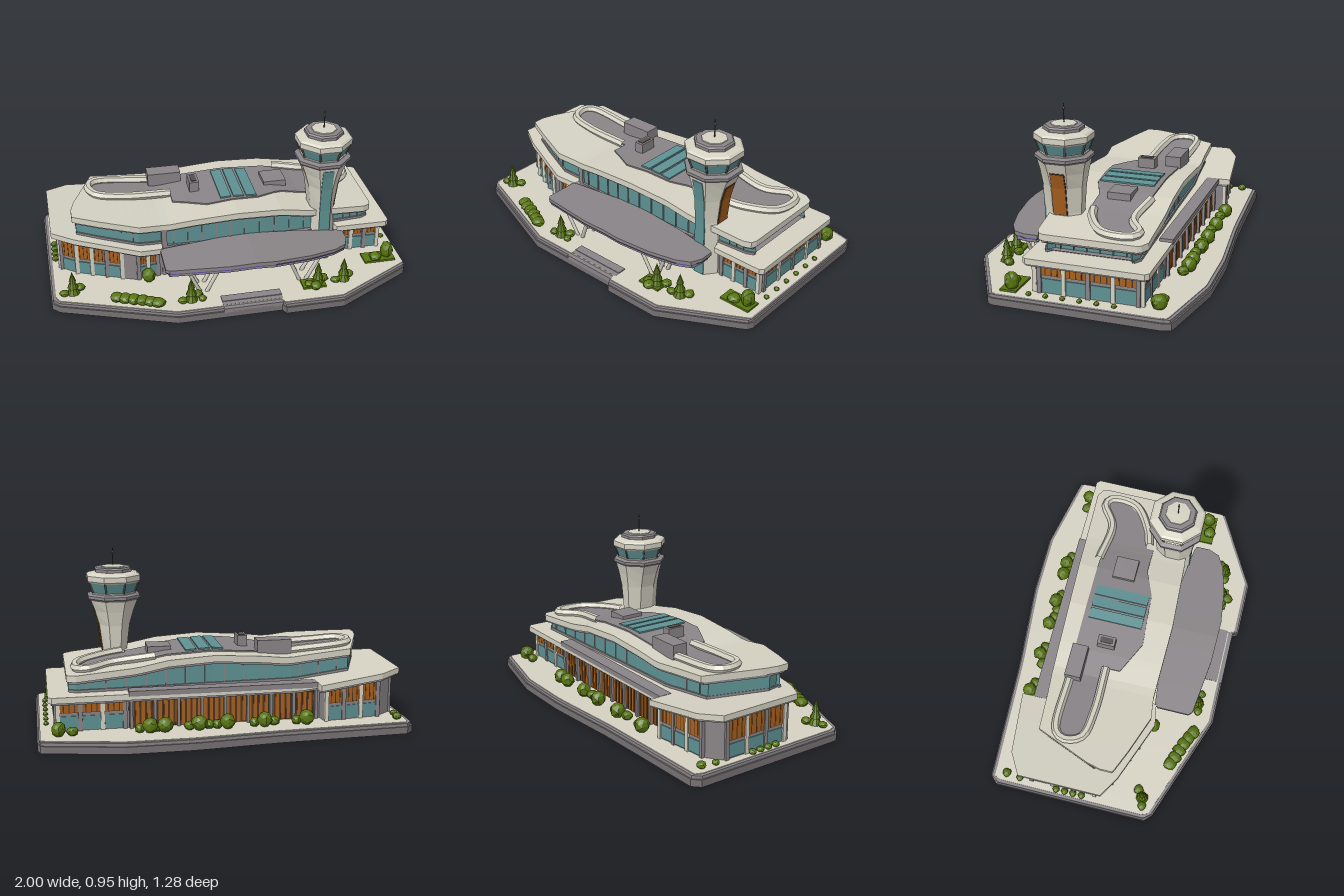
import * as THREE from 'three';

const mat = (name, color) => {
  const m = new THREE.MeshStandardMaterial({ color });
  m.name = name;
  return m;
};

export function createModel() {
  const model = new THREE.Group();
  model.name = 'airportTerminal';
  const cream = mat('cream', 0xd6d3c4), grey = mat('grey', 0x8a8588), glass = mat('glass', 0x5f9294),
    wood = mat('wood', 0xa8601e), brown = mat('darkBrown', 0x4b3524), leaf = mat('leaf', 0x58750f),
    violet = mat('violet', 0x5b50a6), dark = mat('darkGrey', 0x55504f), stone = mat('stone', 0x777274);

  const add = (name, geo, m, x = 0, y = 0, z = 0) => {
    const mesh = new THREE.Mesh(geo, m);
    mesh.name = name;
    mesh.position.set(x, y, z);
    model.add(mesh);
    return mesh;
  };
  const facet = (g) => {
    const f = g.index ? g.toNonIndexed() : g;
    f.computeVertexNormals();
    return f;
  };
  const box = (name, m, x0, x1, y0, y1, z0, z1) => add(name,
    new THREE.BoxGeometry(x1 - x0, y1 - y0, z1 - z0), m, (x0 + x1) / 2, (y0 + y1) / 2, (z0 + z1) / 2);
  const at = (v, x) => (typeof v === 'function' ? v(x) : v);
  const curve = (pts) => (x) => {
    let i = 0;
    while (i < pts.length - 2 && x > pts[i + 1][0]) i++;
    const [a, b] = [pts[i], pts[i + 1]];
    return THREE.MathUtils.lerp(a[1], b[1], THREE.MathUtils.clamp((x - a[0]) / (b[0] - a[0]), 0, 1));
  };

  // Slab lofted along x from [x, back z, front z]; heights may vary with x
  const slabGeo = (secs, y0, y1) => {
    const s = [];
    secs.forEach((c, i) => {
      if (i) {
        const p = secs[i - 1], n = Math.max(1, Math.ceil((c[0] - p[0]) / 0.05));
        for (let k = 1; k <= n; k++) s.push(c.map((v, j) => THREE.MathUtils.lerp(p[j], v, k / n)));
      } else s.push(c);
    });
    const rings = s.map(([x, b, f]) => [[x, at(y0, x), b], [x, at(y0, x), f], [x, at(y1, x), f], [x, at(y1, x), b]]);
    const pos = [], tri = (...p) => p.forEach((v) => pos.push(...v));
    for (let i = 0; i + 1 < rings.length; i++) for (let j = 0; j < 4; j++) {
      const k = (j + 1) % 4, A = rings[i], B = rings[i + 1];
      tri(A[j], B[j], A[k]);
      tri(B[j], B[k], A[k]);
    }
    const S = rings[0], E = rings[rings.length - 1];
    tri(S[0], S[1], S[2]); tri(S[0], S[2], S[3]);
    tri(E[0], E[2], E[1]); tri(E[0], E[3], E[2]);
    const g = new THREE.BufferGeometry();
    g.setAttribute('position', new THREE.Float32BufferAttribute(pos, 3));
    return facet(g);
  };
  const slab = (name, m, secs, y0, y1) => add(name, slabGeo(secs, y0, y1), m);
  const inset = (secs, d) => secs.map(([x, b, f], i) =>
    [x + (i === 0 ? d : i === secs.length - 1 ? -d : 0), b + d, f - d]);

  // Row of n upright plates between two ground points
  const row = (name, m, [ax, az], [bx, bz], y0, y1, n, fill = 0.85, thick = 0.009) => {
    const len = Math.hypot(bx - ax, bz - az) / n;
    for (let i = 0; i < n; i++) {
      const t = (i + 0.5) / n, x = ax + (bx - ax) * t, h = at(y1, x) - y0;
      add(name, new THREE.BoxGeometry(len * fill, h, thick), m, x, y0 + h / 2, az + (bz - az) * t)
        .rotation.y = -Math.atan2(bz - az, bx - ax);
    }
  };
  const bar = (name, m, a, b, r, sides = 6) => {
    const A = new THREE.Vector3(...a), B = new THREE.Vector3(...b), d = B.clone().sub(A);
    const mesh = add(name, new THREE.CylinderGeometry(r, r, d.length(), sides), m);
    mesh.position.copy(A).add(B).multiplyScalar(0.5);
    mesh.quaternion.setFromUnitVectors(new THREE.Vector3(0, 1, 0), d.normalize());
  };

  // Plinth, kerb and paving
  const site = [[-1, -0.53, 0.35], [-0.96, -0.57, 0.39], [-0.35, -0.595, 0.61], [-0.25, -0.6, 0.61],
    [-0.1, -0.613, 0.61], [0.15, -0.635, 0.61], [0.22, -0.64, 0.61], [0.235, -0.64, 0.642], [0.56, -0.64, 0.642],
    [0.95, -0.56, 0.43], [0.985, -0.55, 0.41], [1, -0.5, 0.38]];
  slab('plinth', stone, site, 0, 0.038);
  slab('kerb', grey, inset(site, 0.008), 0.038, 0.055);
  slab('paving', cream, inset(site, 0.025), 0.05, 0.059);
  for (let i = 0; i < 3; i++) box('entranceStep', grey, -0.1, 0.23, 0.03, 0.064 - i * 0.004, 0.5, 0.55 + i * 0.03);

  // Lower storey
  const lowY = curve([[-0.97, 0.32], [-0.4, 0.255], [0.95, 0.25]]);
  const lowRoof = [[-0.97, -0.38, 0.09], [-0.85, -0.45, 0.16], [-0.5, -0.49, 0.29], [-0.498, -0.42, 0.29],
    [-0.38, -0.42, 0.27], [-0.36, -0.42, 0.2], [0.62, -0.42, 0.2], [0.63, -0.42, 0.24], [0.92, -0.42, 0.24], [0.94, -0.4, 0.22]];
  slab('lowerWalls', grey, [[-0.93, -0.34, 0.05], [-0.84, -0.41, 0.12], [-0.53, -0.45, 0.25], [-0.52, -0.38, 0.25],
    [-0.4, -0.38, 0.23], [0.62, -0.38, 0.19], [0.89, -0.38, 0.19], [0.9, -0.37, 0.18]], 0.05, (x) => lowY(x) - 0.03);
  slab('lowerRoof', cream, lowRoof, (x) => lowY(x) - 0.032, lowY);
  slab('lowerSoffit', grey, inset(lowRoof, 0.015), (x) => lowY(x) - 0.045, (x) => lowY(x) - 0.03);
  box('rearRoofStrip', grey, -0.5, 0.52, 0.24, 0.268, -0.423, -0.35);

  // Lower windows: glass below, timber above
  const under = (x) => lowY(x) - 0.048;
  const bays = [[[-0.92, 0.058], [-0.84, 0.12], 1], [[-0.84, 0.12], [-0.6, 0.221], 3], [[-0.51, 0.248], [-0.4, 0.23], 2],
    [[0.65, 0.19], [0.89, 0.19], 3], [[0.9, -0.36], [0.9, 0.16], 4], [[0.54, -0.38], [0.89, -0.38], 3],
    [[-0.93, -0.33], [-0.93, 0.04], 3], [[-0.84, -0.41], [-0.54, -0.449], 3]];
  bays.forEach(([a, b, n]) => {
    row('lowerWindow', glass, a, b, 0.065, 0.138, n, 0.8);
    row('timberBack', brown, a, b, 0.155, under, n, 0.84, 0.006);
    row('timberPanel', wood, a, b, 0.158, (x) => under(x) - 0.003, n * 4, 0.8);
    for (let i = 0; i <= n; i++) {
      const t = i / n, x = a[0] + (b[0] - a[0]) * t, z = a[1] + (b[1] - a[1]) * t;
      box('wallPier', i % 2 ? cream : grey, x - 0.011, x + 0.011, 0.05, under(x) + 0.01, z - 0.011, z + 0.011);
    }
  });
  // Rear timber screen
  row('screenBack', brown, [-0.51, -0.38], [0.52, -0.38], 0.062, 0.212, 1, 1, 0.008);
  row('screenSlat', wood, [-0.51, -0.384], [0.52, -0.384], 0.065, 0.208, 34, 0.62);
  row('screenPier', grey, [-0.56, -0.39], [0.57, -0.39], 0.05, 0.22, 9, 0.13, 0.025);

  // Upper storey
  const topY = curve([[-0.85, 0.435], [-0.35, 0.392], [-0.2, 0.408], [0.05, 0.424], [0.3, 0.41], [0.47, 0.378], [0.85, 0.346]]);
  const topRoof = [[-0.85, 0.06, 0.13], [-0.83, -0.02, 0.14], [-0.71, -0.32, 0.19], [-0.5, -0.33, 0.265], [-0.38, -0.34, 0.25],
    [0.05, -0.35, 0.26], [0.45, -0.365, 0.24], [0.79, -0.375, 0.21], [0.83, -0.35, 0.19], [0.84, -0.33, 0.16]];
  slab('upperRoof', cream, topRoof, (x) => topY(x) - 0.036, topY);
  slab('upperSoffit', grey, inset(topRoof, 0.015), (x) => topY(x) - 0.05, (x) => topY(x) - 0.034);
  slab('upperGlazing', glass, inset(topRoof, 0.045), 0.24, (x) => topY(x) - 0.04);
  slab('upperSill', grey, inset(topRoof, 0.036), 0.24, (x) => lowY(x) + 0.014);
  slab('hallGlazing', glass, [[-0.345, 0, 0.222], [0.05, 0, 0.23], [0.48, 0, 0.215]], 0.05, (x) => topY(x) - 0.04);
  const over = (x) => topY(x) - 0.04;
  [[[-0.8, 0.096], [-0.5, 0.221], 5], [[0.66, 0.176], [0.79, 0.166], 3], [[-0.7, -0.275], [0.79, -0.33], 14],
    [[0.797, -0.3], [0.797, 0.12], 6], [[-0.345, 0.222], [0.05, 0.23], 5], [[0.05, 0.23], [0.48, 0.215], 5]]
    .forEach(([a, b, n], i) => row('mullion', grey, a, b, i > 3 ? 0.06 : 0.25, over, n, 0.06, 0.012));
  box('hallTransom', grey, -0.345, 0.48, 0.19, 0.25, 0.2, 0.236);
  box('hallPier', grey, -0.375, -0.345, 0.05, 0.35, 0.15, 0.235);

  // Roof decks, raised lips, skylights and plant boxes
  const deckY = (x) => topY(x) + 0.008;
  slab('centralDeck', grey, [[-0.28, -0.08, 0.03], [-0.2, -0.25, 0.07], [-0.1, -0.25, 0.12], [0.2, -0.25, 0.1],
    [0.35, -0.25, 0.04], [0.5, -0.17, 0.04]], topY, deckY);
  slab('leftDeck', grey, [[-0.73, -0.21, -0.12], [-0.68, -0.22, -0.07], [-0.2, -0.24, -0.06]], topY, deckY);
  slab('rightDeck', grey, [[0.35, -0.25, 0.03], [0.6, -0.22, -0.02], [0.7, -0.28, -0.08], [0.77, -0.3, -0.18]], topY, deckY);
  [[[-0.38, -0.235], [-0.7, -0.225], [-0.735, -0.17], [-0.7, -0.08], [-0.55, -0.05], [-0.28, -0.05]],
    [[0.36, -0.255], [0.6, -0.235], [0.73, -0.31], [0.78, -0.28], [0.77, -0.13], [0.62, -0.02], [0.52, 0.01]]].forEach((p) => {
    const path = new THREE.CatmullRomCurve3(p.map(([x, z]) => new THREE.Vector3(x, topY(x) + 0.015, z)));
    add('roofLip', facet(new THREE.TubeGeometry(path, 28, 0.024, 6)), cream);
  });
  for (let i = 0; i < 3; i++) {
    const x = -0.015 + i * 0.073;
    slab('skylight', glass, [[x, -0.22, 0.09], [x + 0.06, -0.22, 0.09]], topY, (u) => topY(u) + 0.016);
  }
  box('plantBox', grey, -0.39, -0.2, 0.39, 0.475, -0.26, -0.17);
  box('ventBox', grey, -0.17, -0.115, 0.4, 0.478, -0.13, -0.03);
  box('ventTop', dark, -0.158, -0.127, 0.476, 0.482, -0.115, -0.045);
  box('hatchBox', grey, 0.26, 0.39, 0.38, 0.44, -0.15, -0.02);

  // Entrance canopy on splayed struts
  const canopy = [[-0.39, 0.28, 0.46], [-0.37, 0.26, 0.48], [-0.05, 0.23, 0.52], [0.2, 0.23, 0.525], [0.4, 0.24, 0.5],
    [0.55, 0.26, 0.46], [0.62, 0.27, 0.42], [0.645, 0.28, 0.36]];
  const canY = curve([[-0.39, 0.25], [0.1, 0.268], [0.645, 0.25]]);
  slab('canopyTop', grey, canopy, (x) => canY(x) - 0.02, canY);
  slab('canopyTrim', violet, inset(canopy, 0.006), (x) => canY(x) - 0.03, (x) => canY(x) - 0.02);
  slab('canopyUnderside', grey, inset(canopy, 0.012), (x) => canY(x) - 0.043, (x) => canY(x) - 0.03);
  slab('canopyEdge', violet, inset(canopy, 0.016), (x) => canY(x) - 0.048, (x) => canY(x) - 0.043);
  [-0.18, 0.38].forEach((x) => [0.34, 0.43].forEach((z) => [-1, 1].forEach((s) =>
    bar('canopyStrut', cream, [x + s * 0.015, 0.05, z], [x + s * 0.09, 0.22, z + 0.02], 0.011))));

  // Control tower
  const TX = 0.545, TZ = 0.157, K = 1 / Math.cos(Math.PI / 8);
  const octa = (name, m, pts, sx = 1) => {
    const g = new THREE.LatheGeometry(pts.map(([r, y]) => new THREE.Vector2(r * K, y)), 8, Math.PI / 8);
    g.scale(sx, 1, 1);
    return add(name, facet(g), m, TX, 0, TZ);
  };
  const shaft = [[0.05, 0.078, 0.1], [0.38, 0.068, 0.1], [0.52, 0.085, 0.108], [0.6, 0.108, 0.12], [0.665, 0.132, 0.134]];
  const shaftAt = (j) => curve(shaft.map((s) => [s[0], s[j]]));
  const shaftGeo = new THREE.LatheGeometry(shaft.map((s) => new THREE.Vector2(s[2] * K, s[0])), 8, Math.PI / 8);
  const sp = shaftGeo.attributes.position;
  for (let i = 0; i < sp.count; i++) sp.setX(i, sp.getX(i) * shaftAt(1)(sp.getY(i)) / shaftAt(2)(sp.getY(i)));
  add('towerShaft', facet(shaftGeo), cream, TX, 0, TZ);
  const ribbon = (name, m, j, h0, h1, w, turn) => {
    const hs = [h0, ...shaft.map((s) => s[0]).filter((h) => h > h0 && h < h1), h1];
    const g = slabGeo(hs.map((h) => [h, shaftAt(j)(h) - 0.004, shaftAt(j)(h) + 0.004]), -w, w);
    add(name, g.rotateZ(Math.PI / 2).rotateY(turn), m, TX, 0, TZ);
  };
  ribbon('towerWindow', glass, 2, 0.06, 0.645, 0.031, 0);
  ribbon('towerPanelFrame', brown, 1, 0.37, 0.606, 0.04, Math.PI / 2);
  ribbon('towerPanel', wood, 1, 0.375, 0.6, 0.036, Math.PI / 2);
  model.children[model.children.length - 1].position.x += 0.003;
  octa('towerGallery', grey, [[0, 0.66], [0.135, 0.66], [0.145, 0.672], [0.145, 0.688], [0.12, 0.696], [0, 0.696]]);
  octa('cabinGlass', glass, [[0.112, 0.69], [0.138, 0.768]]);
  octa('cabinSill', cream, [[0.112, 0.69], [0.12, 0.692], [0.122, 0.702], [0.113, 0.706]]);
  octa('cabinRoof', cream, [[0.1, 0.757], [0.14, 0.76], [0.147, 0.77], [0.147, 0.8], [0.135, 0.81], [0.095, 0.82], [0, 0.82]]);
  octa('roofCap', grey, [[0.1, 0.812], [0.1, 0.835], [0.092, 0.843], [0, 0.845]]);
  octa('roofCapInset', cream, [[0.066, 0.84], [0.064, 0.848], [0, 0.85]]);
  for (let i = 0; i < 8; i++) {
    const a = (i + 0.5) * Math.PI / 4, c = Math.cos(a) * K, s = Math.sin(a) * K;
    bar('cabinMullion', dark, [TX + c * 0.112, 0.69, TZ + s * 0.112], [TX + c * 0.138, 0.768, TZ + s * 0.138], 0.006);
  }
  bar('antenna', dark, [TX, 0.84, TZ], [TX, 0.95, TZ], 0.003);
  add('antennaBulb', new THREE.SphereGeometry(0.007, 8, 6), dark, TX, 0.925, TZ);

  // Planting: conifers, round shrubs and hedges
  const shrub = (x, z, r, h = r * 1.6) => {
    const g = new THREE.IcosahedronGeometry(1, 1), p = g.attributes.position;
    for (let i = 0; i < p.count; i++) {
      const k = 1 + 0.12 * Math.sin(p.getX(i) * 9 + p.getZ(i) * 7 + x * 30);
      p.setXYZ(i, p.getX(i) * k, p.getY(i), p.getZ(i) * k);
    }
    add('shrub', facet(g.scale(r, h / 2, r)), leaf, x, 0.055 + h / 2, z);
  };
  [[-0.88, 0.31], [-0.26, 0.5], [0.45, 0.49], [0.6, 0.48]].forEach(([x, z]) => {
    bar('trunk', brown, [x, 0.05, z], [x, 0.09, z], 0.007);
    [[0.036, 0.075, 0.1], [0.03, 0.07, 0.135], [0.02, 0.06, 0.172]].forEach(([r, h, y]) =>
      add('conifer', facet(new THREE.ConeGeometry(r, h, 9)), leaf, x, y, z));
    shrub(x - 0.05, z + 0.01, 0.025, 0.035);
    shrub(x + 0.04, z - 0.03, 0.028, 0.04);
  });
  [[-0.46, 0.28, 0.035, 0.09], [0.91, 0.31, 0.038, 0.1], [0.84, 0.33, 0.035, 0.05], [-0.2, 0.51, 0.022, 0.035],
    [0.43, 0.53, 0.03, 0.045], [-0.93, -0.48, 0.025, 0.04], [-0.94, -0.4, 0.02, 0.03], [0.82, -0.46, 0.03, 0.05],
    [0.89, -0.46, 0.04, 0.08]].forEach((s) => shrub(...s));
  [-0.42, -0.19, 0.01, 0.16, 0.34, 0.42].forEach((x, i) => {
    shrub(x, -0.485, 0.04, 0.085);
    shrub(x + 0.05, -0.465, 0.03, 0.05);
    if (i % 2) shrub(x - 0.055, -0.46, 0.032, 0.05);
  });
  for (let i = 0; i < 6; i++) {
    shrub(-0.65 + i * 0.042, 0.42 + i * 0.018, 0.038, 0.05);
    shrub(0.95, -0.25 + i * 0.09, 0.014, 0.025);
    if (i < 4) shrub(-0.955, -0.18 + i * 0.05, 0.02, 0.03);
  }
  box('hedgeBed', leaf, 0.77, 0.95, 0.055, 0.07, 0.27, 0.36);
  box('hedgeBed', leaf, 0.36, 0.49, 0.055, 0.07, 0.45, 0.53);
  return model;
}
